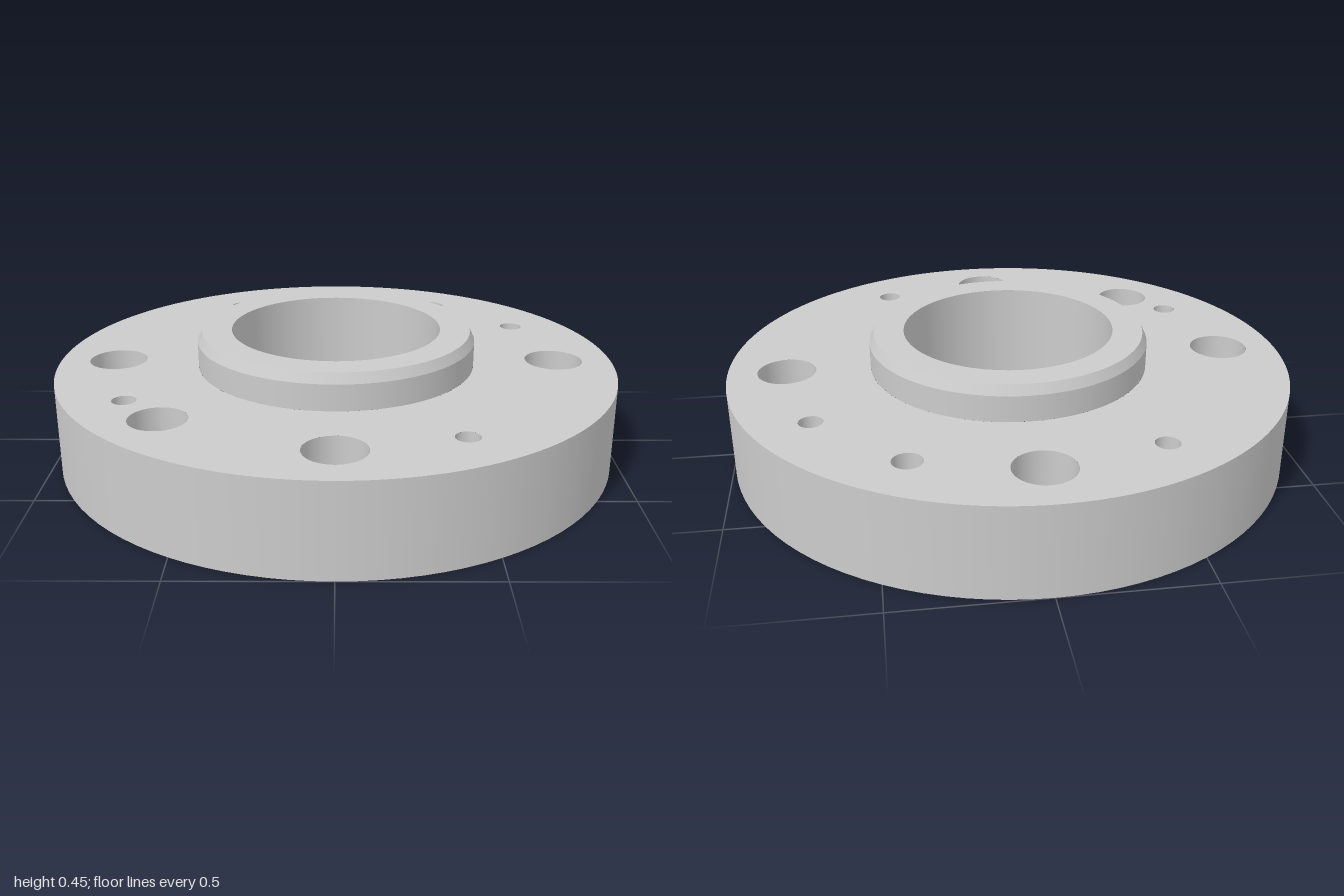
import * as THREE from 'three';
import { mergeGeometries } from 'three/addons/utils/BufferGeometryUtils.js';

const SEG = 96;
const FLANGE_TOP = 0.32, HUB_TOP = 0.447, STEP = 0.2;
const BORE = 0.374, HUB = 0.497;

// holes: x, z, radius at the top, radius at the bottom
const bolts = [[0.793, 0], [-0.793, 0], [0, 0.793], [0, -0.793]]
  .map(([x, z]) => ({ name: 'counterboredHole', x, z, top: 0.103, bottom: 0.176 }));
const plain = [
  [-0.561, 0.561, 0.097], [0.403, -0.698, 0.05], [-0.403, -0.698, 0.041],
  [0.698, -0.403, 0.041], [-0.698, 0.403, 0.041], [0.403, 0.698, 0.041],
].map(([x, z, r]) => ({ name: 'throughHole', x, z, top: r, bottom: r }));
const holes = [...bolts, ...plain];

// revolve a profile with a sharp edge at every point;
// rising runs face outward, falling runs face the axis
function turned(profile) {
  const bands = [];
  for (let i = 0; i < profile.length - 1; i++) {
    const pts = [profile[i], profile[i + 1]].map(([r, y]) => new THREE.Vector2(r, y));
    bands.push(new THREE.LatheGeometry(pts, SEG));
  }
  return mergeGeometries(bands);
}

// flat disc face pierced by the centre opening and every hole
function piercedFace(y, centreRadius, key, side) {
  const shape = new THREE.Shape().absarc(0, 0, 1, 0, Math.PI * 2);
  const cut = (x, z, r) =>
    shape.holes.push(new THREE.Path().absarc(x, -side * z, r, 0, Math.PI * 2, true));
  cut(0, 0, centreRadius);
  holes.forEach((h) => cut(h.x, h.z, h[key]));
  return new THREE.ShapeGeometry(shape, SEG)
    .rotateX(-side * Math.PI / 2)
    .translate(0, y, 0);
}

export function createModel() {
  const model = new THREE.Group();
  model.name = 'flange';
  const material = new THREE.MeshStandardMaterial({ color: 0xcccccc });
  const add = (name, geometry, x = 0, z = 0) => {
    const mesh = new THREE.Mesh(geometry, material);
    mesh.name = name;
    mesh.position.set(x, 0, z);
    model.add(mesh);
  };

  // flange disc
  add('flangeRim', turned([[1, 0], [1, FLANGE_TOP]]));
  add('flangeTopFace', piercedFace(FLANGE_TOP, HUB, 'top', 1));
  add('flangeBottomFace', piercedFace(0, BORE, 'bottom', -1));

  // raised hub with chamfered edge, and the central bore
  add('hub', turned([[HUB, FLANGE_TOP], [HUB, 0.412], [0.48, HUB_TOP], [BORE, HUB_TOP]]));
  add('bore', turned([[BORE, HUB_TOP], [BORE, 0]]));

  // hole walls, stepped where the underside is counterbored
  for (const h of holes) {
    const profile = h.top === h.bottom
      ? [[h.top, FLANGE_TOP], [h.top, 0]]
      : [[h.top, FLANGE_TOP], [h.top, STEP], [h.bottom, STEP], [h.bottom, 0]];
    add(h.name, turned(profile), h.x, h.z);
  }
  return model;
}
